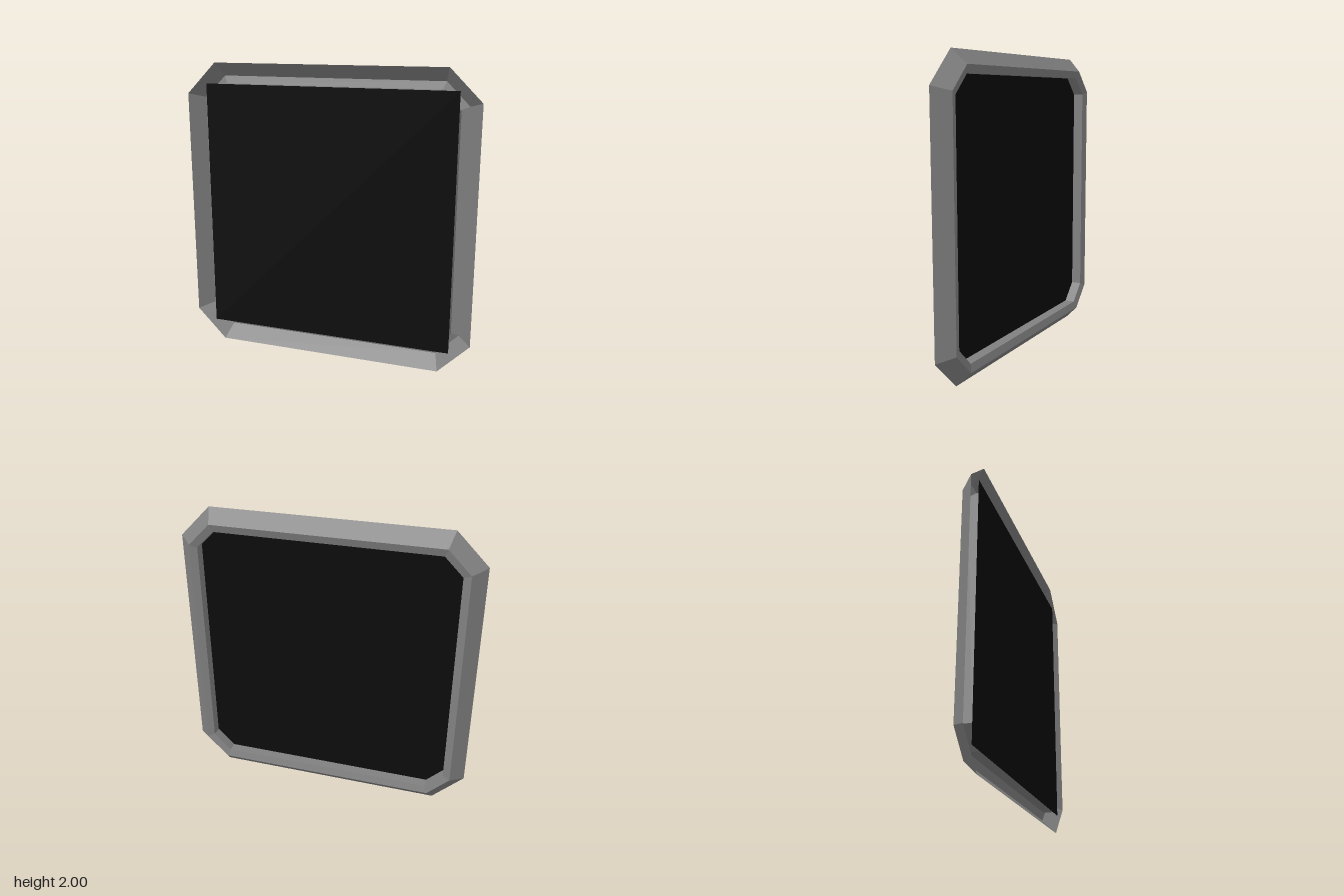
import * as THREE from 'three';

// Octagonal loop: square of half-size r with cut corners starting at c, at depth z
function octagon(r, c, z) {
  return [[r, -c], [r, c], [c, r], [-c, r], [-r, c], [-r, -c], [-c, -r], [c, -r]]
    .map(([x, y]) => [x, y, z]);
}

// Flat-faced band joining two loops
function band(from, to) {
  const pos = [];
  from.forEach((a, i) => {
    const j = (i + 1) % from.length;
    const b = from[j], c = to[j], d = to[i];
    pos.push(...a, ...d, ...c, ...a, ...c, ...b);
  });
  const geo = new THREE.BufferGeometry();
  geo.setAttribute('position', new THREE.Float32BufferAttribute(pos, 3));
  geo.computeVertexNormals();
  return geo;
}

export function createModel() {
  const model = new THREE.Group();
  model.name = 'framedPanel';

  const frameGrey = new THREE.MeshStandardMaterial({ color: 0x808080, side: THREE.DoubleSide, flatShading: true });
  frameGrey.name = 'frameGrey';
  const panelBlack = new THREE.MeshStandardMaterial({ color: 0x0b0b0b, side: THREE.DoubleSide });
  panelBlack.name = 'panelBlack';

  // Frame: a thin folded sheet running from the front rim, round the back, to the panel
  const loops = [
    octagon(1, 0.79, 0.045),
    octagon(0.91, 0.76, -0.045),
    octagon(0.86, 0.74, -0.03),
    octagon(0.86, 0.74, 0.04),
  ];
  const frame = new THREE.Group();
  frame.name = 'frame';
  ['outerBevel', 'backRim', 'innerWall'].forEach((name, i) => {
    const mesh = new THREE.Mesh(band(loops[i], loops[i + 1]), frameGrey);
    mesh.name = name;
    frame.add(mesh);
  });

  // Square panel across the front of the inner wall
  const panel = new THREE.Mesh(new THREE.PlaneGeometry(1.72, 1.72), panelBlack);
  panel.name = 'panel';
  panel.position.z = 0.04;

  model.add(frame, panel);
  model.children.forEach((part) => { part.position.y = 1; });
  return model;
}
